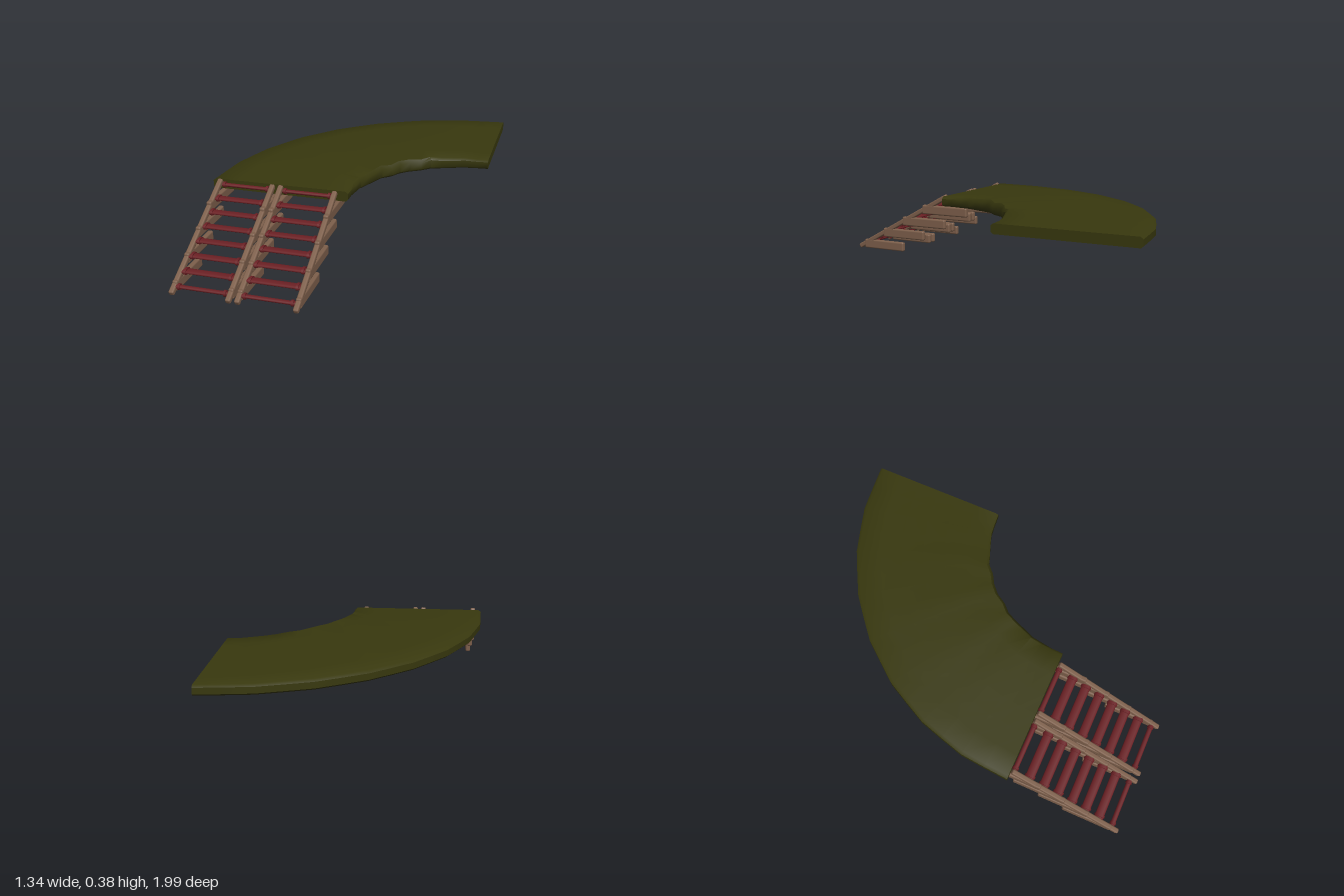
import * as THREE from 'three';
import { toCreasedNormals } from 'three/addons/utils/BufferGeometryUtils.js';
import { RoundedBoxGeometry } from 'three/addons/geometries/RoundedBoxGeometry.js';

const wood = new THREE.MeshStandardMaterial({ name: 'wood', color: 0x7d5f4b });
const red = new THREE.MeshStandardMaterial({ name: 'redRungs', color: 0x6b2024 });
const green = new THREE.MeshStandardMaterial({ name: 'mossGreen', color: 0x38380e });

function add(parent, name, geometry, material, x = 0, y = 0, z = 0) {
  const mesh = new THREE.Mesh(geometry, material);
  mesh.name = name;
  mesh.position.set(x, y, z);
  parent.add(mesh);
  return mesh;
}

// Quarter-circle slab: a section loop swept round an arc, uneven along its inner edge
function curvedSlab() {
  const steps = 16, across = 6, cx = 0.665, cz = 0.375;
  const section = (i) => {
    const t = i / steps, angle = t * Math.PI / 2;
    const swell = Math.sin(Math.PI * Math.min(1, t * 1.05));
    const jag = Math.sin(i * 2.4) * 0.6 + Math.sin(i * 4.1 + 1) * 0.4;
    const inner = 0.61 + 0.03 * t + 0.008 * jag * swell;
    const outer = (1.335 + 0.035 * t) * (i % 2 ? 0.996 : 1);
    const at = (s, y) => {
      const r = inner + (outer - inner) * s;
      return [cx - r * Math.cos(angle), y, cz - r * Math.sin(angle)];
    };
    const points = [at(0.015, 0.307), at(0, 0.318), at(0, 0.348 + (0.01 + 0.006 * jag) * swell)];
    for (let j = 0; j <= across; j++) {
      const s = 0.02 + 0.96 * j / across;
      const ridge = 0.022 * Math.sin(Math.PI * Math.min(1, 0.25 + s * 0.75));
      const fold = 0.005 * jag * (1 - s);
      points.push(at(s, 0.357 + (ridge + fold) * swell + 0.004 * (1 - s) * (1 - t)));
    }
    points.push(at(1, 0.347), at(1, 0.316), at(0.985, 0.307));
    return points;
  };
  const rings = Array.from({ length: steps + 1 }, (_, i) => section(i));
  const positions = [], n = rings[0].length;
  const tri = (...corners) => corners.forEach((p) => positions.push(...p));
  for (let i = 0; i < steps; i++) {
    for (let j = 0; j < n; j++) {
      const k = (j + 1) % n, a = rings[i], b = rings[i + 1];
      tri(a[j], b[j], b[k]);
      tri(a[j], b[k], a[k]);
    }
  }
  // End caps
  const first = rings[0], last = rings[steps];
  for (let j = 1; j < n - 1; j++) {
    tri(first[0], first[j], first[j + 1]);
    tri(last[0], last[j + 1], last[j]);
  }
  const geometry = new THREE.BufferGeometry();
  geometry.setAttribute('position', new THREE.Float32BufferAttribute(positions, 3));
  return toCreasedNormals(geometry, 0.8);
}

// One flight: two sloping rails, four beams behind each rail, eight flattened rungs
function stairFlight(leftRail, rightRail) {
  const flight = new THREE.Group();
  const low = { y: 0.02, z: 0.985 }, high = { y: 0.35, z: 0.39 };
  const dy = high.y - low.y, dz = low.z - high.z;
  const railGeometry = new RoundedBoxGeometry(0.027, 0.028, Math.hypot(dy, dz) + 0.02, 2, 0.008);

  for (const x of [leftRail, rightRail]) {
    const rail = add(flight, 'rail', railGeometry, wood, x, (low.y + high.y) / 2, (low.z + high.z) / 2);
    rail.rotation.x = Math.atan2(dy, dz);
    for (let i = 0; i < 4; i++) {
      const back = 0.68 - i * 0.143, front = 0.955 - i * 0.137;
      const beam = new RoundedBoxGeometry(0.028, 0.053, front - back, 2, 0.009);
      add(flight, 'supportBeam', beam, wood, x, 0.036 + i * 0.078, (front + back) / 2);
    }
  }

  const middle = (leftRail + rightRail) / 2, width = Math.abs(rightRail - leftRail);
  const rod = new THREE.CylinderGeometry(1, 1, width, 12).rotateZ(Math.PI / 2);
  const knob = new THREE.CylinderGeometry(1, 1, 0.012, 12).rotateZ(Math.PI / 2);
  for (let i = 0; i < 8; i++) {
    const y = 0.038 + i * 0.0425, z = 0.955 - i * 0.0805;
    const depth = i % 7 === 0 ? 0.013 : 0.024;
    add(flight, 'rung', rod, red, middle, y, z).scale.set(1, 0.009, depth);
    for (const side of [-1, 1]) {
      add(flight, 'rungCollar', knob, red, middle + side * (width / 2 - 0.026), y, z)
        .scale.set(1, 0.016, depth + 0.004);
    }
  }
  return flight;
}

export function createModel() {
  const model = new THREE.Group();
  model.name = 'curvedRampWithStairs';
  add(model, 'curvedPlatform', curvedSlab(), green);
  [[-0.625, -0.34], [-0.295, -0.01]].forEach(([a, b], i) => {
    const flight = stairFlight(a, b);
    flight.name = i ? 'leftStairFlight' : 'rightStairFlight';
    model.add(flight);
  });
  return model;
}
